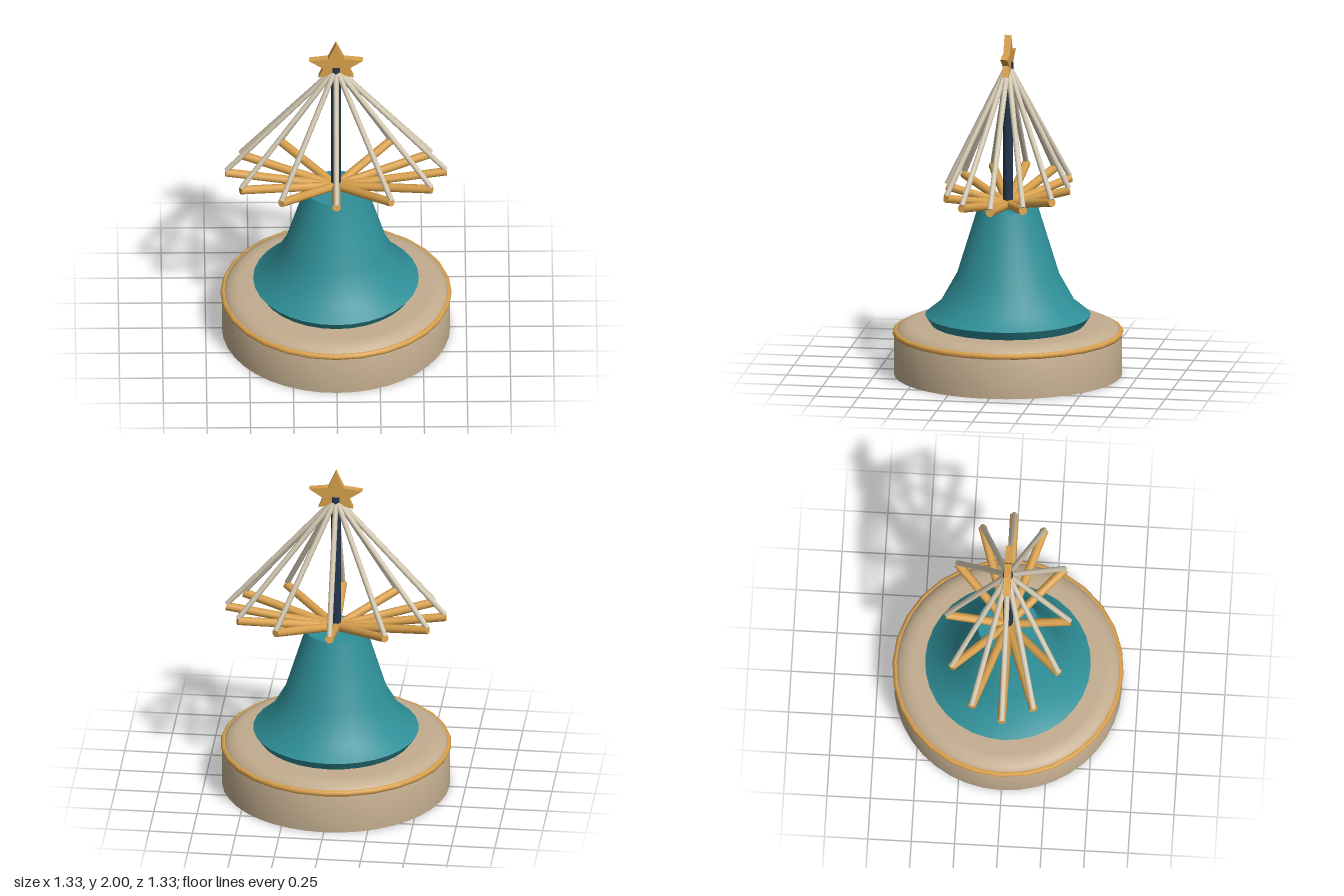
import * as THREE from 'three';
import { toCreasedNormals } from 'three/addons/utils/BufferGeometryUtils.js';

const material = (name, color) => {
  const m = new THREE.MeshStandardMaterial({ color });
  m.name = name;
  return m;
};

export function createModel() {
  const group = new THREE.Group();
  group.name = 'bellCarousel';
  const stone = material('warm stone', 0xc2ac8e);
  const teal = material('teal', 0x2f8f98);
  const gold = material('gold', 0xd8a04c);
  const cream = material('cream', 0xd8cdb6);
  const navy = material('navy', 0x25364f);

  const add = (name, geometry, mat, parent = group) => {
    const mesh = new THREE.Mesh(geometry, mat);
    mesh.name = name;
    parent.add(mesh);
    return mesh;
  };
  const lathe = (points, segments) => toCreasedNormals(
    new THREE.LatheGeometry(points.map(p => new THREE.Vector2(...p)), segments), 0.62);

  // Straight rod between two points
  const rod = (name, a, b, radius, sides, mat, parent) => {
    const dir = b.clone().sub(a);
    const mesh = add(name, new THREE.CylinderGeometry(radius, radius, dir.length(), sides), mat, parent);
    mesh.position.copy(a).add(b).multiplyScalar(0.5);
    mesh.quaternion.setFromUnitVectors(new THREE.Vector3(0, 1, 0), dir.normalize());
  };

  // Round plinth with a softened top edge
  add('base', lathe([[0, 0], [0.657, 0], [0.657, 0.235], [0.645, 0.26], [0.62, 0.28],
    [0.585, 0.296], [0.55, 0.298], [0, 0.298]], 40), stone);

  // Gold band around the plinth
  const rim = add('baseRim', new THREE.TorusGeometry(0.648, 0.018, 8, 28), gold);
  rim.rotation.x = Math.PI / 2;
  rim.position.y = 0.247;

  // Flared bell body
  add('bell', lathe([[0, 0.295], [0.44, 0.295], [0.477, 0.35], [0.39, 0.42], [0.295, 0.59],
    [0.175, 0.98], [0, 0.98]], 32), teal);

  // Central mast
  const mast = add('mast', new THREE.CylinderGeometry(0.03, 0.03, 0.88, 8), navy);
  mast.position.y = 1.4;

  // Spokes and stays, with their tips on an ellipse
  const spokes = new THREE.Group();
  spokes.name = 'spokes';
  const stays = new THREE.Group();
  stays.name = 'stays';
  group.add(spokes, stays);
  const hub = new THREE.Vector3(0, 0.998, 0);
  const peak = new THREE.Vector3(0, 1.825, 0);
  for (let i = 0; i < 12; i++) {
    const a = (i / 12) * Math.PI * 2;
    const tip = (k, y) => new THREE.Vector3(0.64 * k * Math.cos(a), y, 0.36 * k * Math.sin(a));
    rod('spoke', hub, tip(0.993, 1.094), 0.025, 10, gold, spokes);
    rod('stay', tip(0.985, 1.108), peak, 0.016, 8, cream, stays);
  }

  // Star on top of the mast
  const half = [[0, 2], [0.045, 1.9], [0.155, 1.886], [0.074, 1.832], [0.1, 1.77], [0, 1.8]];
  const outline = [...half, ...half.slice(1, -1).reverse().map(([x, y]) => [-x, y])];
  const star = add('star', new THREE.ExtrudeGeometry(
    new THREE.Shape(outline.map(p => new THREE.Vector2(...p))),
    { depth: 0.04, bevelEnabled: false }), gold);
  star.position.z = -0.02;

  return group;
}
